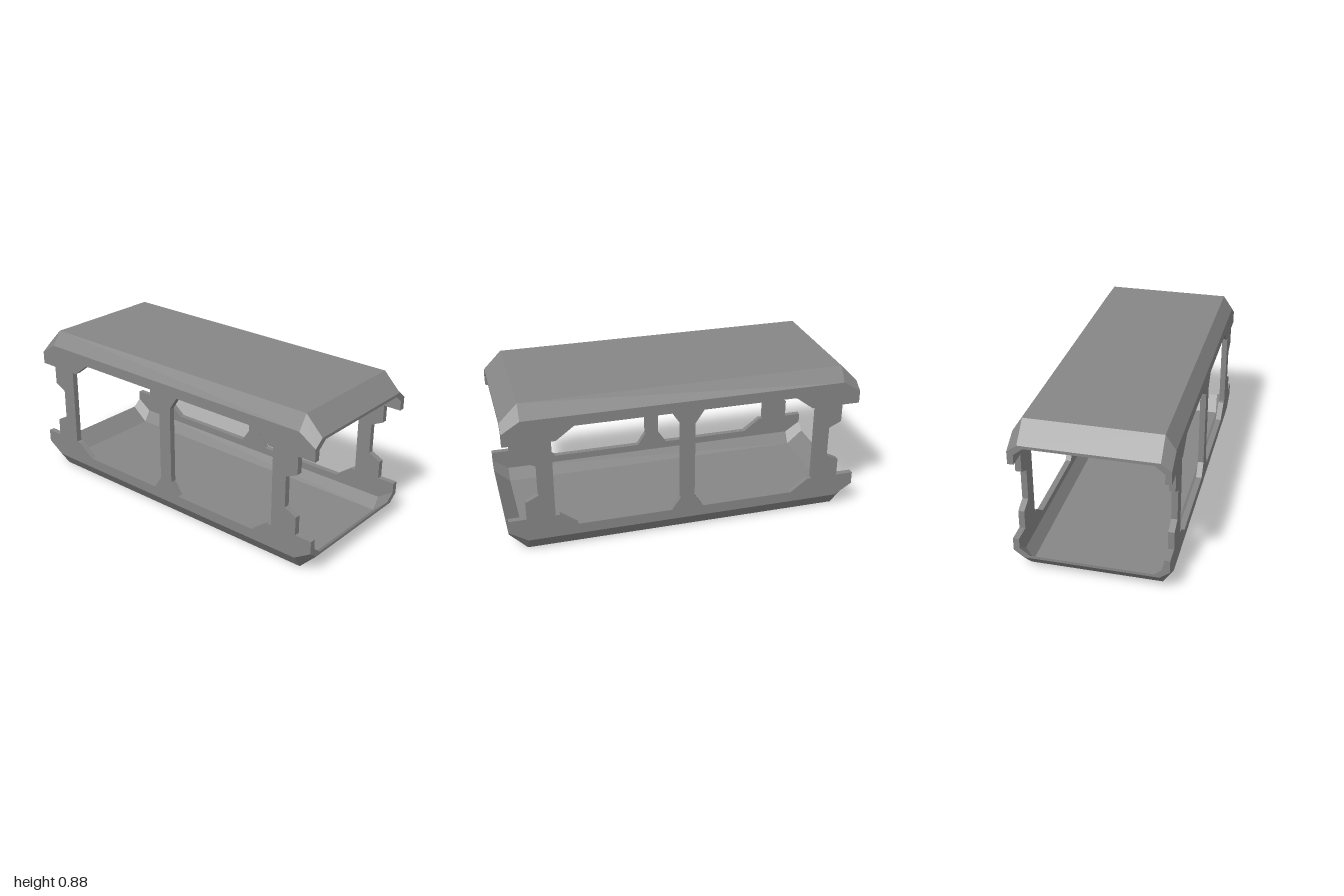
import * as THREE from 'three';

const H = 0.882; // overall height
const mat = new THREE.MeshStandardMaterial({ color: 0x868686 });

// Cross-section of the tray: four outer corners, then four inner ones back again
function section(z, end) {
  const outer = end ? [[0.415, 0.143], [0.36, 0.102]] : [[0.415, 0.08], [0.36, 0]];
  const inner = end ? [[0.382, 0.159], [0.33, 0.118]] : [[0.382, 0.098], [0.34, 0.03]];
  const span = ([a, b], zz) => [[-a[0], a[1]], [-b[0], b[1]], b, a]
    .map(([x, y]) => new THREE.Vector3(x, y, zz));
  const innerZ = end ? z : z + Math.sign(z) * 0.01;
  return [...span(outer, z), ...span(inner, innerZ).reverse()];
}

// Chamfered tray with sloping ends, lofted through four sections
function trayGeometry() {
  const rings = [section(-1, true), section(-0.9, false), section(0.9, false), section(1, true)];
  const pos = [];
  const nor = [];
  // Each panel gets one even normal, taken from its diagonals
  const quad = (a, b, c, d) => {
    const n = c.clone().sub(a).cross(d.clone().sub(b)).normalize();
    for (const p of [a, b, c, a, c, d]) {
      pos.push(...p);
      nor.push(...n);
    }
  };
  for (let i = 0; i < 3; i++) {
    for (let j = 0; j < 8; j++) {
      const k = (j + 1) % 8;
      quad(rings[i][j], rings[i][k], rings[i + 1][k], rings[i + 1][j]);
    }
  }
  // End rims between the outer and inner outline
  const [back, , , front] = rings;
  for (let j = 0; j < 3; j++) {
    quad(front[j], front[j + 1], front[6 - j], front[7 - j]);
    quad(back[j + 1], back[j], back[7 - j], back[6 - j]);
  }
  const geo = new THREE.BufferGeometry();
  geo.setAttribute('position', new THREE.Float32BufferAttribute(pos, 3));
  geo.setAttribute('normal', new THREE.Float32BufferAttribute(nor, 3));
  return geo;
}

const points = (list) => list.map(([x, y]) => new THREE.Vector2(x, y));
const mirrored = (list) => list.map(([x, y]) => [-x, y]).reverse();

// Side wall with notched ends and two chamfered windows
function wallGeometry() {
  const end = [
    [0.9, 0.08], [1, 0.143], [1, 0.215], [0.9, 0.215], [0.9, 0.319], [0.83, 0.353],
    [0.83, 0.53], [0.9, 0.564], [0.9, 0.667], [1, 0.667], [1, H - 0.143], [0.9, H - 0.08],
  ];
  const opening = [
    [0.09, 0.14], [0.62, 0.14], [0.72, 0.215], [0.745, 0.215], [0.745, 0.667],
    [0.72, 0.667], [0.62, 0.742], [0.09, 0.742], [0.04, 0.667], [0.04, 0.215],
  ];
  const shape = new THREE.Shape(points([...end, ...mirrored(end)]));
  shape.holes.push(new THREE.Path(points(opening)), new THREE.Path(points(mirrored(opening))));
  const geo = new THREE.ExtrudeGeometry(shape, { depth: 0.033, bevelEnabled: false });
  return geo.rotateY(Math.PI / 2).translate(0.382, 0, 0);
}

export function createModel() {
  const model = new THREE.Group();
  model.name = 'openFrameHousing';
  const add = (name, geo) => {
    const mesh = new THREE.Mesh(geo, mat);
    mesh.name = name;
    model.add(mesh);
    return mesh;
  };

  // Floor and roof are the same tray, the roof turned over
  const tray = trayGeometry();
  add('floor', tray);
  const roof = add('roof', tray);
  roof.rotation.z = Math.PI;
  roof.position.y = H;

  // Side walls, the right one turned half round
  const wall = wallGeometry();
  add('leftWall', wall);
  add('rightWall', wall).rotation.y = Math.PI;

  return model;
}
